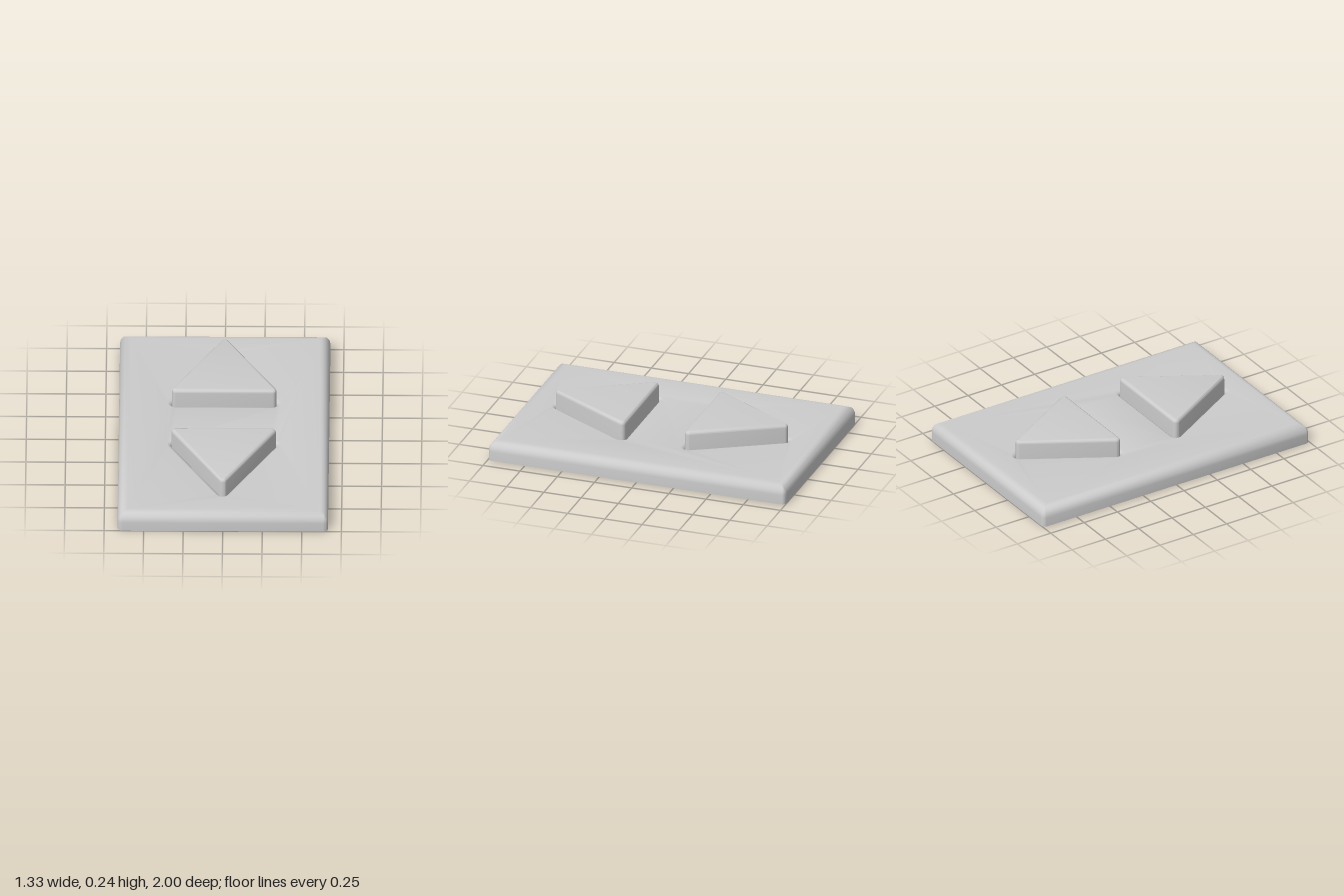
import * as THREE from 'three';
import { mergeGeometries, toCreasedNormals } from 'three/addons/utils/BufferGeometryUtils.js';

const PLATE_TOP = 0.127, PLATE_ROUND = 0.066, LIP = 0.03;
const BUTTON_BOTTOM = 0.06, BUTTON_TOP = 0.242, BUTTON_ROUND = 0.022;

// Counter-clockwise polygon (x right, y towards the back) with corners rounded
// by r, then grown by d (negative d shrinks it).
function outline(poly, r, d = 0, steps = 6) {
  const n = poly.length, pts = [];
  const normal = (a, b) => new THREE.Vector2(b.y - a.y, a.x - b.x).normalize();
  poly.forEach((v, i) => {
    const n1 = normal(poly[(i + n - 1) % n], v), n2 = normal(v, poly[(i + 1) % n]);
    const centre = n1.clone().add(n2).multiplyScalar(-Math.max(r, -d) / (1 + n1.dot(n2))).add(v);
    const turn = Math.acos(n1.dot(n2)), radius = Math.max(r + d, 0);
    for (let k = 0; k <= steps; k++) {
      const a = n1.angle() + turn * k / steps;
      pts.push(new THREE.Vector2(centre.x + radius * Math.cos(a), centre.y + radius * Math.sin(a)));
    }
  });
  return pts;
}

// Wall through rows of [offset, height]; rising rows face out, falling rows face in.
function wall(poly, r, rows) {
  const pos = [], index = [];
  let n = 0;
  rows.forEach(([d, y], j) => {
    const ring = outline(poly, r, d);
    n = ring.length;
    ring.forEach((p, i) => {
      pos.push(p.x, y, -p.y);
      if (j === 0) return;
      const k = (i + 1) % n, a = (j - 1) * n, b = j * n;
      index.push(a + i, a + k, b + k, a + i, b + k, b + i);
    });
  });
  const g = new THREE.BufferGeometry();
  g.setAttribute('position', new THREE.Float32BufferAttribute(pos, 3));
  g.setIndex(index);
  return g.toNonIndexed();
}

// Flat horizontal face, with optional holes, facing up or down.
function cap(points, y, up, holes = []) {
  const s = up ? 1 : -1;
  const flip = (list) => list.map((p) => new THREE.Vector2(p.x, p.y * s));
  const shape = new THREE.Shape(flip(points));
  shape.holes = holes.map((h) => new THREE.Path(flip(h)));
  const g = new THREE.ShapeGeometry(shape).rotateX(-s * Math.PI / 2).translate(0, y, 0).toNonIndexed();
  g.deleteAttribute('uv');
  g.deleteAttribute('normal');
  return g;
}

// Quarter-round rows that turn a vertical side into a flat top.
function roundRows(radius, top, steps = 8) {
  return Array.from({ length: steps + 1 }, (_, i) => {
    const a = i / steps * Math.PI / 2;
    return [-radius * (1 - Math.cos(a)), top - radius * (1 - Math.sin(a))];
  });
}

function makeMesh(name, parts, material) {
  const mesh = new THREE.Mesh(toCreasedNormals(mergeGeometries(parts), 0.6), material);
  mesh.name = name;
  return mesh;
}

export function createModel() {
  const group = new THREE.Group();
  group.name = 'callButtonPanel';
  const material = new THREE.MeshStandardMaterial({ color: 0xcccccc });
  const points = (list) => list.map(([x, y]) => new THREE.Vector2(x, y));

  const plate = points([[-0.665, -1], [0.665, -1], [0.665, 1], [-0.665, 1]]);
  const upArrow = points([[-0.348, 0.2], [0.348, 0.2], [0, 0.803]]);
  const downArrow = upArrow.map((p) => p.clone().negate());
  const arrows = [upArrow, downArrow];
  const plateR = 0.03, arrowR = 0.025;

  // Plate with a rounded rim and two round-lipped triangular openings
  const lipRows = roundRows(LIP, PLATE_TOP).reverse().map(([d, y]) => [-d, y]);
  group.add(makeMesh('facePlate', [
    wall(plate, plateR, [[0, 0], ...roundRows(PLATE_ROUND, PLATE_TOP)]),
    cap(outline(plate, plateR, -PLATE_ROUND), PLATE_TOP, true, arrows.map((t) => outline(t, arrowR, LIP))),
    cap(outline(plate, plateR), 0, false, arrows.map((t) => outline(t, arrowR))),
    ...arrows.map((t) => wall(t, arrowR, [...lipRows, [0, 0]])),
  ], material));

  // Triangular buttons, hollowed below the plate by a shallow recess
  arrows.forEach((t, i) => group.add(makeMesh(i ? 'downButton' : 'upButton', [
    wall(t, arrowR, [[0, BUTTON_BOTTOM], ...roundRows(BUTTON_ROUND, BUTTON_TOP)]),
    cap(outline(t, arrowR, -BUTTON_ROUND), BUTTON_TOP, true),
    cap(outline(t, arrowR), BUTTON_BOTTOM, false),
  ], material)));

  return group;
}
